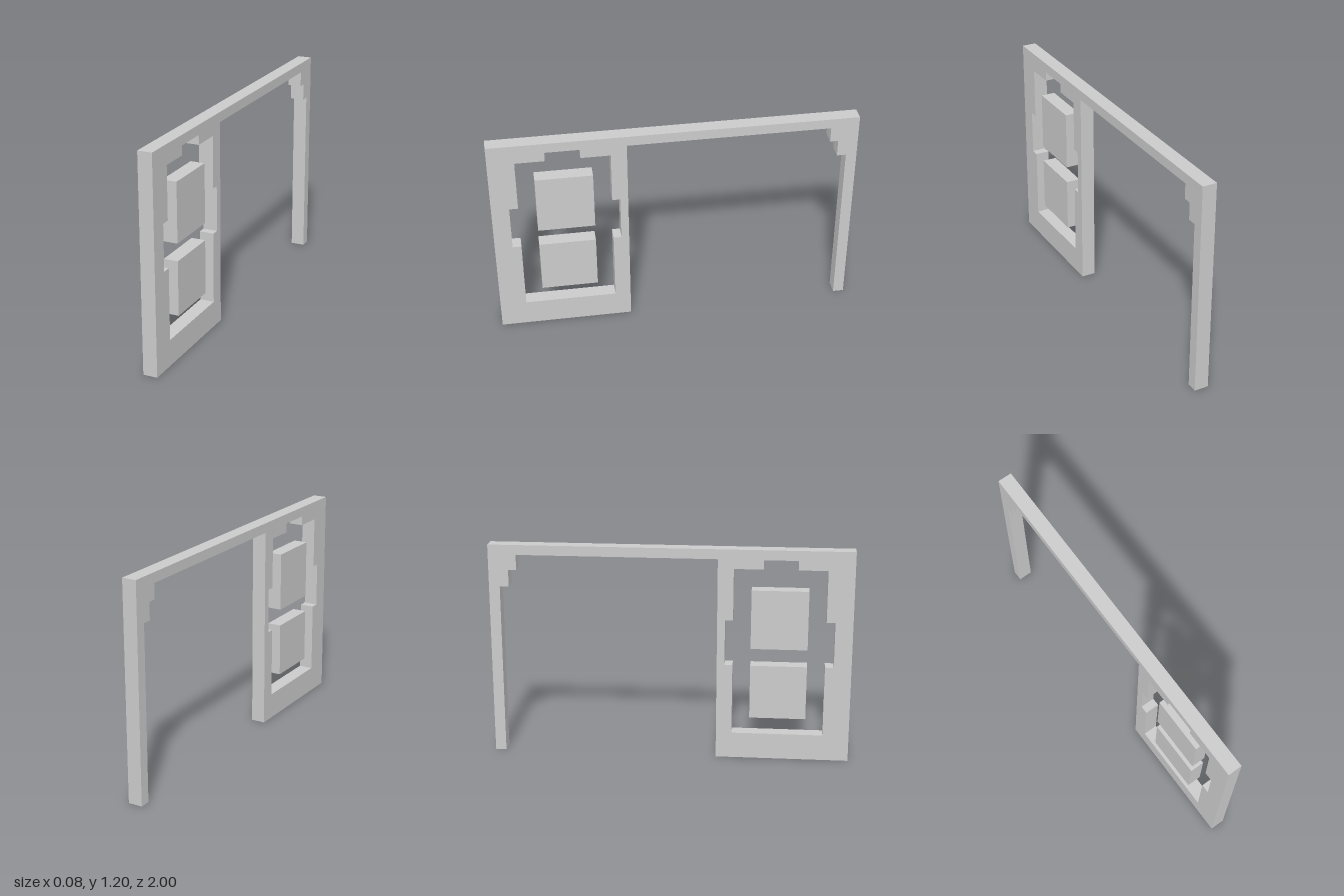
import * as THREE from 'three';

const THICKNESS = 0.08;
const material = new THREE.MeshStandardMaterial({ color: 0xcccccc, flatShading: true });

const toPoints = (pairs) => pairs.map(([z, y]) => new THREE.Vector2(z, y));

// Outline of the frame as [z, y]: window pier, top beam, stepped bracket, slim post
const OUTLINE = [
  [1, 0], [1, 1.2], [-1, 1.2], [-1, 0], [-0.94, 0],
  [-0.94, 0.965], [-0.89, 0.965], [-0.89, 1.06], [-0.845, 1.06], [-0.845, 1.145],
  [0.26, 1.145], [0.26, 0],
];

// Notched window opening as [z, y]
const OPENING = [
  [0.855, 0.147], [0.347, 0.147], [0.347, 0.547], [0.303, 0.547], [0.303, 0.803],
  [0.347, 0.803], [0.347, 1.093], [0.508, 1.093], [0.508, 1.145], [0.695, 1.145],
  [0.695, 1.093], [0.855, 1.093], [0.855, 0.803], [0.903, 0.803], [0.903, 0.547],
  [0.855, 0.547],
];

export function createModel() {
  const group = new THREE.Group();
  group.name = 'wallFrame';

  // Frame, extruded and turned so that its profile lies in the z-y plane
  const shape = new THREE.Shape(toPoints(OUTLINE));
  shape.holes.push(new THREE.Path(toPoints(OPENING)));
  const geometry = new THREE.ExtrudeGeometry(shape, { depth: THICKNESS, bevelEnabled: false });
  geometry.translate(0, 0, -THICKNESS / 2);
  geometry.rotateY(-Math.PI / 2);
  const frame = new THREE.Mesh(geometry, material);
  frame.name = 'frame';
  group.add(frame);

  // Two free-standing panels inside the opening
  const panels = [['lowerPanel', 0.241, 0.546], ['upperPanel', 0.643, 0.975]];
  for (const [name, bottom, top] of panels) {
    const panel = new THREE.Mesh(new THREE.BoxGeometry(THICKNESS, top - bottom, 0.312), material);
    panel.name = name;
    panel.position.set(0, (bottom + top) / 2, 0.601);
    group.add(panel);
  }

  return group;
}
